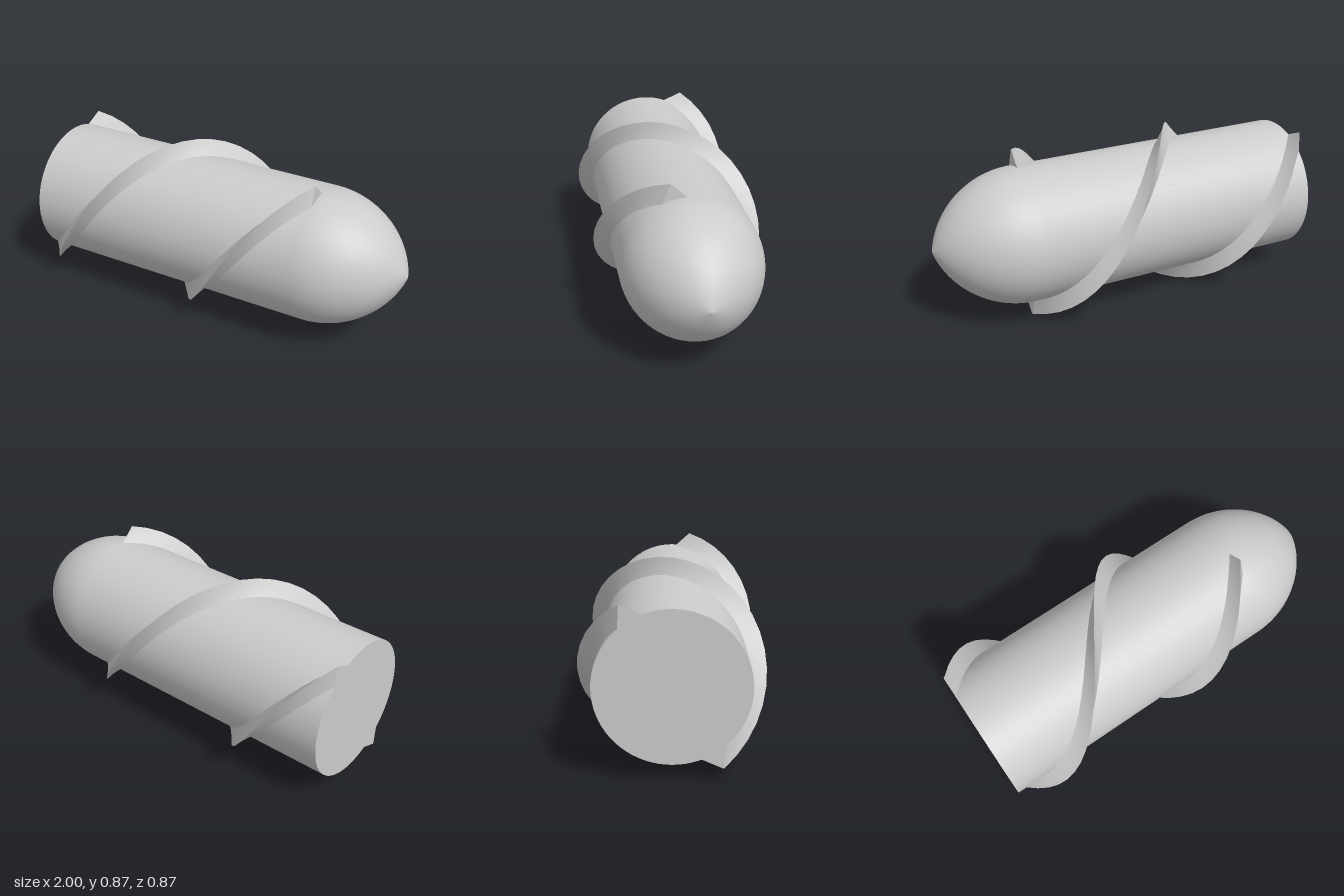
import * as THREE from 'three';

const AXIS_Y = 0.435, BODY_R = 0.352, CREST_R = 0.435;
const BACK = -1, SHOULDER = 0.53, TIP = 1;
const rad = THREE.MathUtils.degToRad;

// One helical fin: a triangular section twisted along x, with sharp crest and closed ends
function finGeometry(startAngle) {
  const steps = 32, halfWidth = rad(10), twist = rad(206);
  const corner = (i, k) => { // k = 0 lower root, 1 crest, 2 upper root
    const x = BACK + (SHOULDER - BACK) * i / steps;
    const a = startAngle + (SHOULDER - x) * twist + (k - 1) * halfWidth;
    const r = k === 1 ? CREST_R : BODY_R;
    return [x, r * Math.cos(a), r * Math.sin(a)];
  };
  const pos = [], index = [];
  // Two flanks, each smooth along its length
  for (const k of [0, 1]) {
    const base = pos.length / 3;
    for (let i = 0; i <= steps; i++) {
      pos.push(...corner(i, k), ...corner(i, k + 1));
      if (i === steps) continue;
      const a = base + i * 2;
      index.push(a, a + 1, a + 2, a + 1, a + 3, a + 2);
    }
  }
  // End triangles
  for (const [i, order] of [[0, [2, 1, 0]], [steps, [0, 1, 2]]]) {
    for (const k of order) {
      index.push(pos.length / 3);
      pos.push(...corner(i, k));
    }
  }
  const geo = new THREE.BufferGeometry();
  geo.setAttribute('position', new THREE.Float32BufferAttribute(pos, 3));
  geo.setIndex(index);
  geo.computeVertexNormals();
  return geo;
}

export function createModel() {
  const model = new THREE.Group();
  model.name = 'spiralBit';
  const material = new THREE.MeshStandardMaterial({ color: 0xcccccc });
  const add = (name, geometry) => {
    const mesh = new THREE.Mesh(geometry, material);
    mesh.name = name;
    mesh.position.y = AXIS_Y;
    model.add(mesh);
    return mesh;
  };

  // Cylinder running into a tangent ogive nose
  const length = TIP - SHOULDER;
  const arcR = (BODY_R ** 2 + length ** 2) / (2 * BODY_R);
  const sweep = Math.asin(length / arcR);
  const profile = [new THREE.Vector2(BODY_R, BACK)];
  for (let i = 0; i <= 24; i++) {
    const t = sweep * i / 24;
    profile.push(new THREE.Vector2(
      Math.max(0, arcR * Math.cos(t) + BODY_R - arcR),
      SHOULDER + arcR * Math.sin(t)));
  }
  add('body', new THREE.LatheGeometry(profile, 72)).rotation.z = -Math.PI / 2;

  // Flat rear face
  const rear = add('rearCap', new THREE.CircleGeometry(BODY_R, 72));
  rear.rotation.y = -Math.PI / 2;
  rear.position.x = BACK;

  // Two opposed spiral fins
  add('upperFin', finGeometry(rad(13.3)));
  add('lowerFin', finGeometry(rad(193.3)));

  return model;
}
